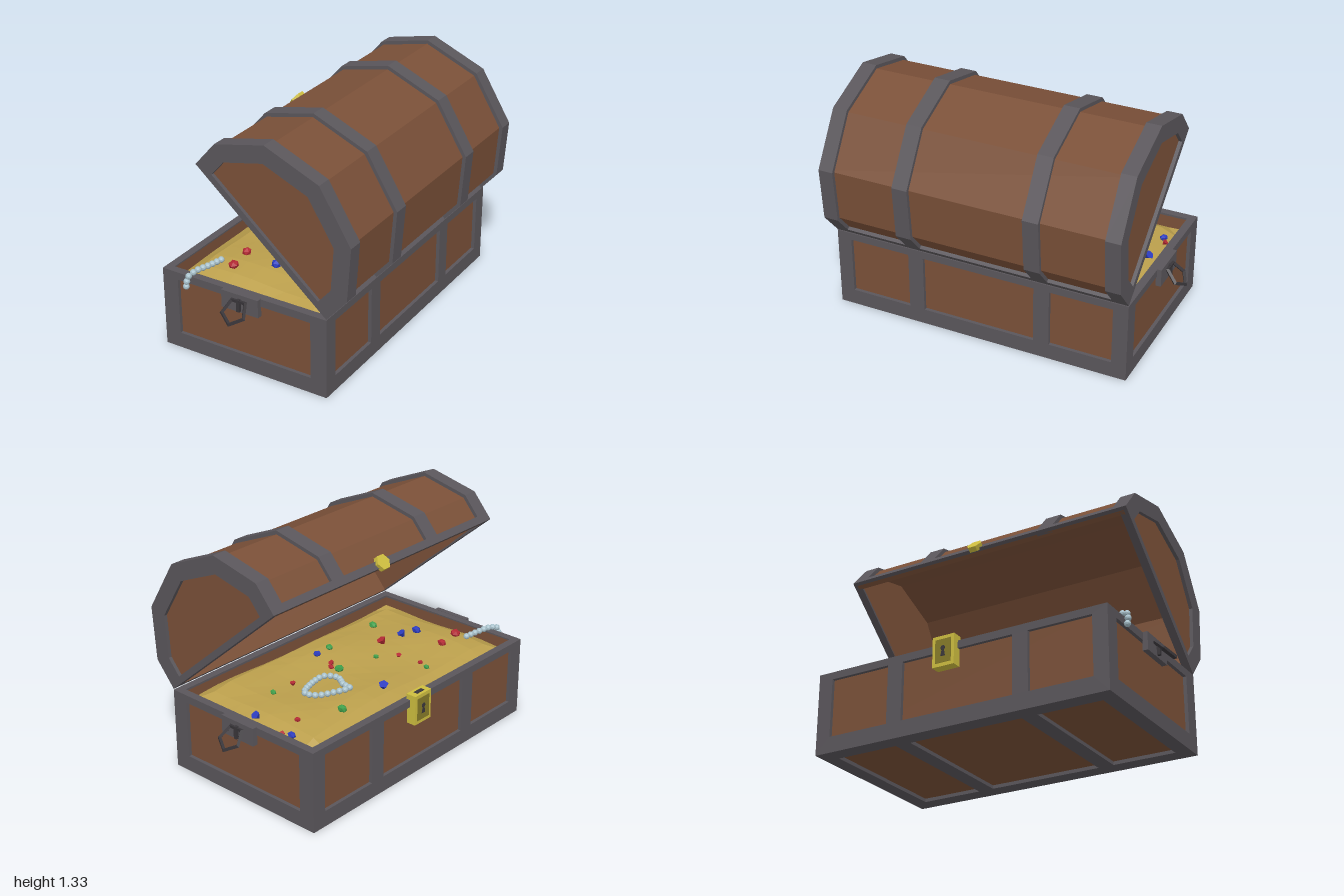
import * as THREE from 'three';

const paint = (name, color, side = THREE.FrontSide) =>
  Object.assign(new THREE.MeshStandardMaterial({ color, flatShading: true, side }), { name });

export function createModel() {
  const M = {
    iron: paint('iron', 0x5a565b),
    darkIron: paint('dark iron', 0x39363a),
    wood: paint('wood', 0x7a5038),
    gold: paint('gold', 0xbb9f4c, THREE.DoubleSide),
    brass: paint('brass', 0xcdbd3f),
    darkBrass: paint('dark brass', 0x857a28),
    pearl: paint('pearl', 0xa9c2cc),
    ruby: paint('ruby', 0xb42a34),
    emerald: paint('emerald', 0x3f9f4a),
    sapphire: paint('sapphire', 0x2c3cc0),
  };
  const root = new THREE.Group();
  root.name = 'treasureChest';

  const add = (parent, name, geo, mat, x = 0, y = 0, z = 0) => {
    const m = new THREE.Mesh(geo, mat);
    m.name = name;
    m.position.set(x, y, z);
    parent.add(m);
    return m;
  };
  const group = (parent, name, x = 0, y = 0, z = 0) => {
    const g = new THREE.Group();
    g.name = name;
    g.position.set(x, y, z);
    parent.add(g);
    return g;
  };
  // box given by its limits
  const box = (parent, name, mat, x0, x1, y0, y1, z0, z1) =>
    add(parent, name, new THREE.BoxGeometry(x1 - x0, y1 - y0, z1 - z0), mat,
      (x0 + x1) / 2, (y0 + y1) / 2, (z0 + z1) / 2);
  const poly = (pts) => new THREE.Shape(pts.map((p) => new THREE.Vector2(p[0], p[1])));
  const rect = (x0, x1, y0, y1) => poly([[x0, y0], [x1, y0], [x1, y1], [x0, y1]]);
  const extrude = (shape, depth) => new THREE.ExtrudeGeometry(shape, { depth, bevelEnabled: false });
  const framed = (outer, holes, depth) => {
    outer.holes.push(...holes);
    return extrude(outer, depth);
  };

  // ---- Base: wooden tub with iron frames standing 0.02 proud ----
  const X = 0.505, Z = 0.865, H = 0.46, T = 0.02, W = 0.045;
  const base = group(root, 'base', -0.055);
  const bays = [[-0.78, -0.42], [-0.33, 0.33], [0.42, 0.78]];
  box(base, 'floor', M.wood, -X + T, X - T, T, 0.05, -Z + T, Z - T);
  for (const s of [-1, 1]) {
    const xw = s * (X - (T + W) / 2), zw = s * (Z - (T + W) / 2), t = (W - T) / 2;
    box(base, 'longWall', M.wood, xw - t, xw + t, T, 0.452, -Z + T, Z - T);
    box(base, 'endWall', M.wood, -X + T, X - T, T, 0.452, zw - t, zw + t);
    const side = framed(rect(-Z, Z, 0, H), bays.map((b) => rect(b[0], b[1], 0.09, 0.418)), T);
    add(base, 'sideFrame', side.rotateY(Math.PI / 2), M.iron, s > 0 ? X - T : -X);
    add(base, 'endFrame', framed(rect(-X, X, 0, H), [rect(-0.41, 0.41, 0.09, 0.416)], T),
      M.iron, 0, 0, s > 0 ? Z - T : -Z);
  }
  const bottom = framed(rect(-X, X, -Z, Z), bays.map((b) => rect(-0.41, 0.41, b[0], b[1])), T);
  add(base, 'bottomFrame', bottom.rotateX(-Math.PI / 2), M.iron);
  const rim = framed(rect(-X, X, -Z, Z), [rect(-X + W, X - W, -Z + W, Z - W)], 0.012);
  add(base, 'topRim', rim.rotateX(-Math.PI / 2), M.iron, 0, H - 0.012, 0);

  // ---- Lid: built closed, then swung open around the rear hinge ----
  const lid = group(root, 'lid', 0.45, 0.465);
  lid.rotation.z = -0.715;
  const L = 1.008;
  // arch outline moved inward by t, standing on height y0
  const arch = (t, y0 = 0) => {
    const half = [[t, y0], [t, 0.18 - 0.33 * t], [0.18 + 0.61 * t, 0.422 - 0.856 * t]];
    return [...half, [L / 2, 0.525 - 1.05 * t], ...half.map((p) => [L - p[0], p[1]]).reverse()]
      .map((p) => [-p[0], p[1]]);
  };
  const hoop = (a, b, depth) => extrude(poly([...arch(a), ...arch(b).reverse()]), depth);
  add(lid, 'lidPlanks', hoop(T, W, 2 * (Z - T)), M.wood, 0, 0, -Z + T);
  for (const z of [-0.865, -0.42, 0.33, 0.78])
    add(lid, 'lidBand', hoop(0, 0.03, z === -0.865 || z === 0.78 ? 0.085 : 0.09), M.iron, 0, 0, z);
  for (const s of [-1, 1]) {
    add(lid, 'lidEndWall', extrude(poly(arch(T, 0.004)), W - T), M.wood, 0, 0, s > 0 ? Z - W : -Z + T);
    add(lid, 'lidEndFrame', framed(poly(arch(0)), [poly(arch(0.095, 0.036))], T),
      M.iron, 0, 0, s > 0 ? Z - T : -Z);
    box(lid, 'lidEndRim', M.iron, -L, 0, 0, 0.012, s * Z - (s > 0 ? W : 0), s * Z + (s > 0 ? 0 : W));
  }
  for (const x of [-L, -T]) box(lid, 'lidRail', M.iron, x, x + T, 0, 0.042, -Z, Z);
  for (const x of [-L, -W]) box(lid, 'lidRim', M.iron, x, x + W, 0, 0.012, -Z, Z);
  const clasp = add(lid, 'clasp', new THREE.CylinderGeometry(0.045, 0.045, 0.03, 6), M.brass,
    -L - 0.005, 0.022, -0.055);
  clasp.rotation.z = Math.PI / 2;

  // ---- Lock ----
  const lock = group(root, 'lock', 0, 0, -0.055);
  box(lock, 'lockBody', M.brass, -0.595, -0.535, 0.32, 0.49, -0.065, 0.065);
  box(lock, 'lockPanel', M.darkBrass, -0.598, -0.594, 0.34, 0.47, -0.047, 0.047);
  box(lock, 'lockSlot', M.darkIron, -0.578, -0.553, 0.488, 0.492, -0.03, 0.03);
  const keyhole = new THREE.CylinderGeometry(0.014, 0.014, 0.004, 8).rotateZ(Math.PI / 2);
  add(lock, 'keyhole', keyhole, M.darkIron, -0.598, 0.42, 0);
  const wedge = extrude(poly([[-0.014, 0.375], [0.014, 0.375], [0.004, 0.42], [-0.004, 0.42]]), 0.004);
  add(lock, 'keyholeSlot', wedge.rotateY(Math.PI / 2), M.darkIron, -0.6, 0, 0);

  // ---- Five-sided ring handles on both ends ----
  for (const s of [1, -1]) {
    const h = group(root, 'handle', -0.055);
    if (s < 0) h.rotation.y = Math.PI;
    box(h, 'handlePlate', M.iron, -0.113, 0.113, 0.36, 0.462, 0.86, 0.89);
    box(h, 'handleStaple', M.darkIron, -0.009, 0.009, 0.37, 0.44, 0.888, 0.908);
    const ring = add(h, 'handleRing', new THREE.TorusGeometry(0.07, 0.012, 4, 5).rotateZ(-Math.PI / 2),
      M.darkIron, 0, 0.388, 0.938);
    ring.rotation.x = -Math.PI / 4;
  }

  // ---- Treasure: uneven heap of gold ----
  const treasure = group(root, 'treasure');
  const heap = (x, z) => {
    const e = Math.max(Math.abs((x + 0.055) / 0.465), Math.abs(z / 0.825));
    return 0.46 - 0.075 * e ** 8 + 0.008 * Math.sin(9 * x + 5 * z) + 0.006 * Math.cos(8 * z - 4 * x);
  };
  const gold = new THREE.PlaneGeometry(0.925, 1.645, 9, 14).rotateX(-Math.PI / 2).translate(-0.055, 0, 0);
  const gp = gold.attributes.position;
  for (let i = 0; i < gp.count; i++) gp.setY(i, heap(gp.getX(i), gp.getZ(i)));
  add(treasure, 'goldHeap', gold, M.gold);

  // gems as x, z, size
  const gems = {
    ruby: [[-0.02, 0.29, 0.028], [-0.27, 0.51, 0.027], [-0.18, 0.24, 0.016], [-0.31, 0.27, 0.016],
      [0.02, -0.09, 0.017], [0, -0.12, 0.018], [0.03, -0.39, 0.017], [-0.26, -0.66, 0.018], [-0.27, -0.78, 0.018],
      [-0.25, 0.66, 0.03]],
    emerald: [[0.19, 0.45, 0.026], [-0.37, 0.25, 0.018], [-0.1, 0.14, 0.018], [-0.05, -0.11, 0.028],
      [0.15, 0.03, 0.022], [0.04, -0.53, 0.018], [-0.37, -0.44, 0.028]],
    sapphire: [[-0.04, 0.44, 0.026], [-0.06, 0.54, 0.029], [-0.38, -0.125, 0.028], [0.15, -0.07, 0.023],
      [-0.07, -0.76, 0.026], [-0.315, -0.76, 0.024]],
  };
  for (const [kind, list] of Object.entries(gems)) {
    list.forEach(([x, z, r], i) => {
      const pointed = kind !== 'emerald' && i % 2 === 0;
      const geo = pointed ? new THREE.ConeGeometry(r, 1.6 * r, 5) : new THREE.IcosahedronGeometry(r, 0);
      const gem = add(treasure, kind, geo, M[kind], x, heap(x, z) + 0.4 * r, z);
      gem.rotation.set(pointed ? 2.7 : 0.3, i * 1.3, 0.3);
      gem.scale.y = pointed ? 1 : 0.8;
    });
  }

  // strings of pearls along a curve
  const bead = new THREE.IcosahedronGeometry(0.018, 1);
  const pearls = (name, pts, closed, n) => {
    const g = group(treasure, name);
    const c = new THREE.CatmullRomCurve3(pts.map((p) => new THREE.Vector3(...p)), closed);
    for (let i = 0; i < n; i++) {
      const p = c.getPointAt(i / (closed ? n : n - 1));
      add(g, 'pearl', bead, M.pearl, p.x, p.y, p.z);
    }
  };
  const loop = [[-0.11, -0.445], [-0.05, -0.32], [-0.05, -0.23], [-0.12, -0.2], [-0.21, -0.25],
    [-0.26, -0.26], [-0.22, -0.37], [-0.18, -0.43]];
  pearls('pearlLoop', loop.map(([x, z]) => [x, heap(x, z) + 0.018, z]), true, 22);
  pearls('drapedPearls', [[-0.33, 0.478, 0.66], [-0.345, 0.482, 0.75], [-0.365, 0.485, 0.83],
    [-0.38, 0.468, 0.885], [-0.392, 0.41, 0.888]], false, 10);

  return root;
}
